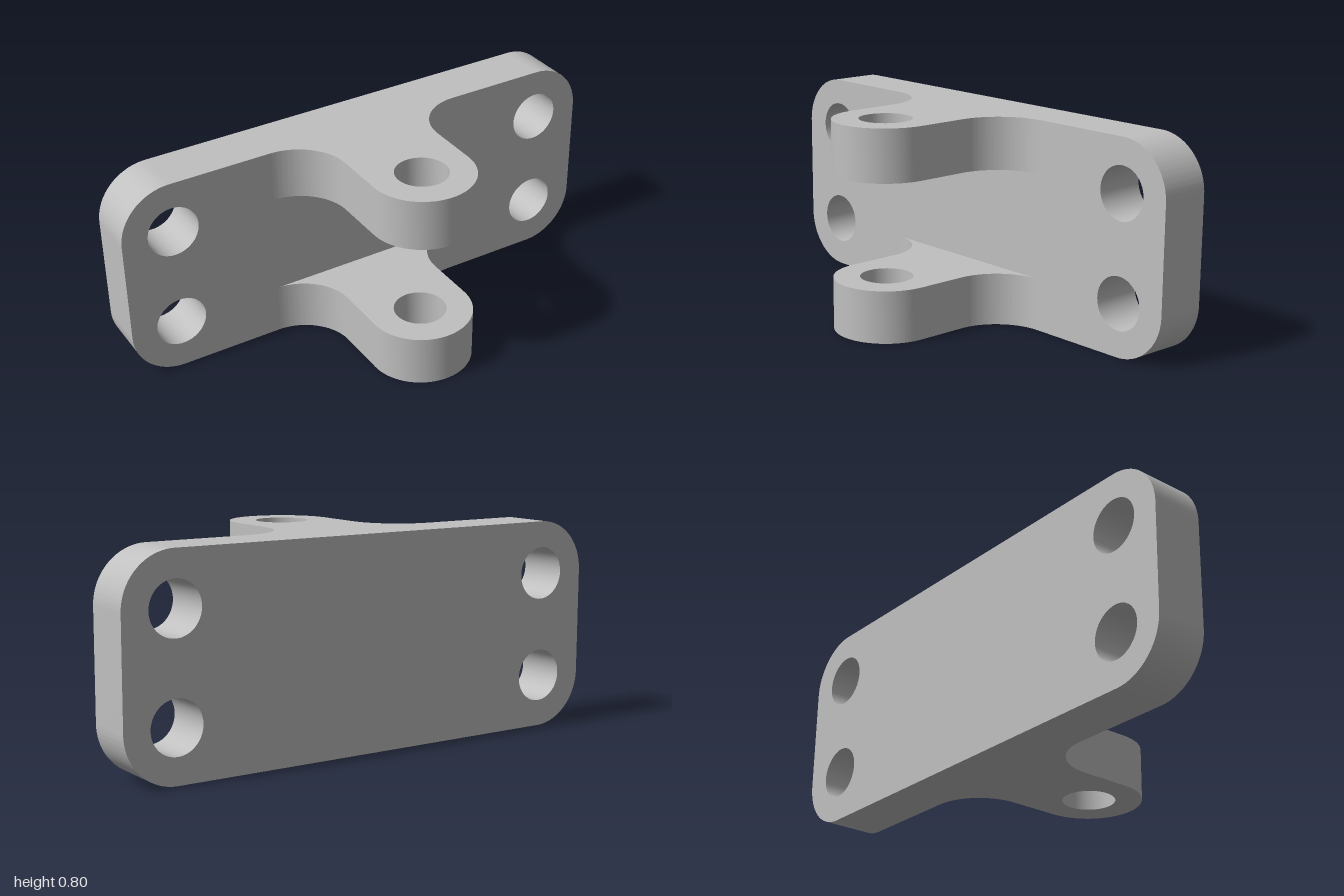
import * as THREE from 'three';
import { toCreasedNormals } from 'three/addons/utils/BufferGeometryUtils.js';

const HOLE_RADIUS = 0.1;

function addHole(shape, x, y) {
  const hole = new THREE.Path();
  hole.absarc(x, y, HOLE_RADIUS, 0, Math.PI * 2, true);
  shape.holes.push(hole);
}

// Extrude a shape with smooth arcs and sharp rims
function extrude(shape, depth) {
  const geometry = new THREE.ExtrudeGeometry(shape, { depth, bevelEnabled: false, curveSegments: 24 });
  return toCreasedNormals(geometry, 0.5);
}

// Rounded mounting plate with four bolt holes
function plateGeometry() {
  const w = 1, h = 0.8, r = 0.2;
  const shape = new THREE.Shape();
  shape.absarc(w - r, r, r, -Math.PI / 2, 0, false);
  shape.absarc(w - r, h - r, r, 0, Math.PI / 2, false);
  shape.absarc(-w + r, h - r, r, Math.PI / 2, Math.PI, false);
  shape.absarc(-w + r, r, r, Math.PI, Math.PI * 1.5, false);
  shape.closePath();
  for (const x of [-0.8, 0.8]) for (const y of [0.2, 0.6]) addHole(shape, x, y);
  return extrude(shape, 0.2).translate(0, 0, -0.4);
}

// Lug with filleted root, round end and pin hole, laid flat (shape y is -z)
function lugGeometry() {
  const r = 0.2;
  const shape = new THREE.Shape();
  shape.absarc(-0.4, 0, r, Math.PI / 2, 0, true);
  shape.absarc(0, -0.2, r, Math.PI, Math.PI * 2, false);
  shape.absarc(0.4, 0, r, Math.PI, Math.PI / 2, true);
  shape.closePath();
  addHole(shape, 0, -0.2);
  return extrude(shape, 0.2).rotateX(-Math.PI / 2);
}

export function createModel() {
  const metal = new THREE.MeshStandardMaterial({ color: 0xc0c0c0 });
  metal.name = 'grey metal';
  const model = new THREE.Group();
  model.name = 'clevisBracket';

  const plate = new THREE.Mesh(plateGeometry(), metal);
  plate.name = 'mountingPlate';
  model.add(plate);

  const lug = lugGeometry();
  for (const [name, y] of [['lowerLug', 0], ['upperLug', 0.6]]) {
    const mesh = new THREE.Mesh(lug, metal);
    mesh.name = name;
    mesh.position.y = y;
    model.add(mesh);
  }
  return model;
}
